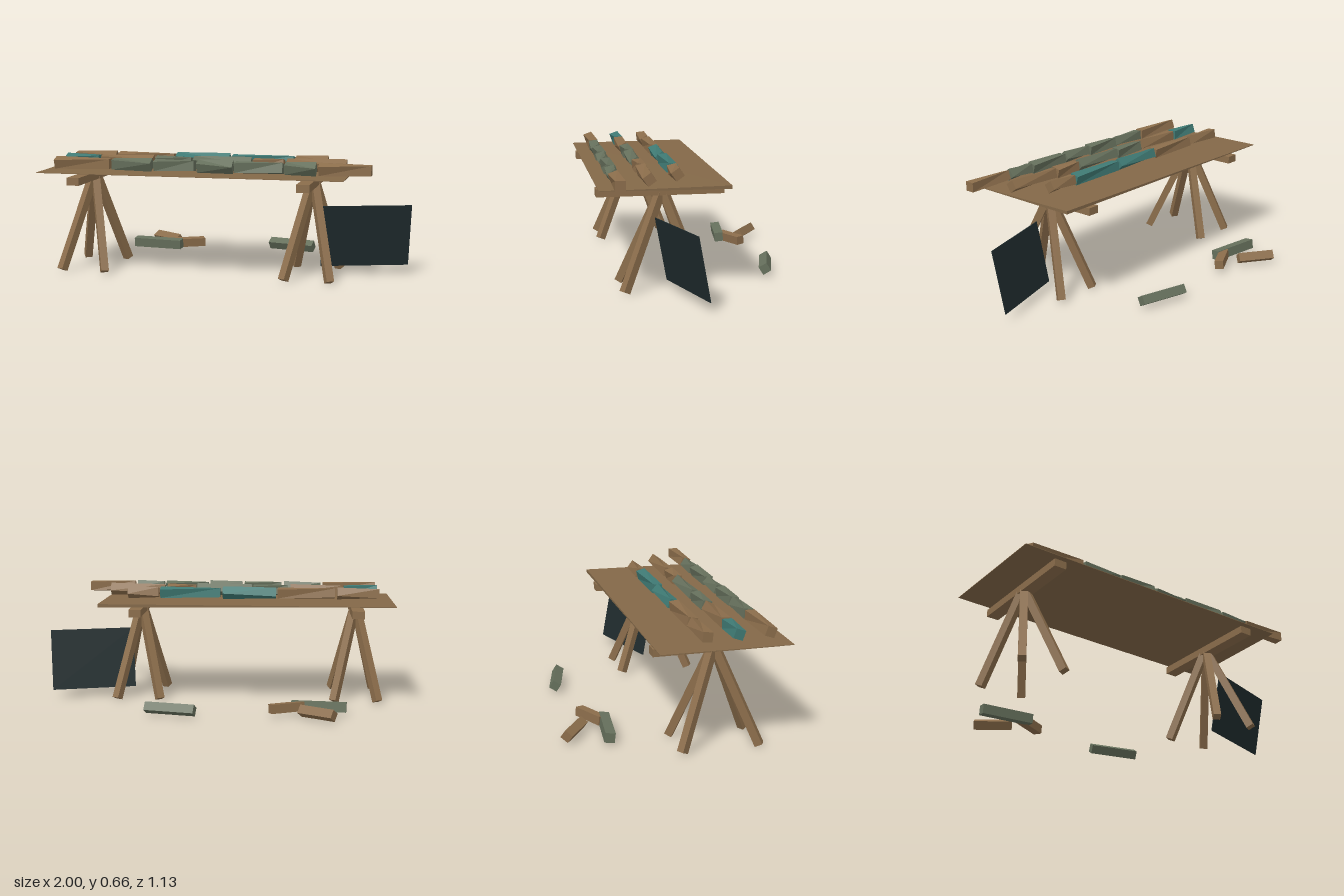
import * as THREE from 'three';

const material = (name, color) => {
  const m = new THREE.MeshStandardMaterial({ color, flatShading: true });
  m.name = name;
  return m;
};

export function createModel() {
  const model = new THREE.Group();
  model.name = 'marketTable';
  const wood = material('wood', 0x8b6d4b);
  const board = material('boardWood', 0x836848);
  const green = material('mossGreen', 0x66705c);
  const teal = material('teal', 0x3f7a74);
  const slate = material('darkSlate', 0x1f2b2d);

  // Square bar between two points, its ends rolled by separate angles
  function bar(name, mat, from, to, width, rollA = 0, rollB = rollA, parent = model) {
    const a = new THREE.Vector3(...from), b = new THREE.Vector3(...to);
    const geo = new THREE.BoxGeometry(width, width, a.distanceTo(b));
    const p = geo.attributes.position;
    for (let i = 0; i < p.count; i++) {
      const r = p.getZ(i) < 0 ? rollA : rollB;
      const x = p.getX(i), y = p.getY(i);
      p.setXY(i, x * Math.cos(r) - y * Math.sin(r), x * Math.sin(r) + y * Math.cos(r));
    }
    geo.computeVertexNormals();
    const mesh = new THREE.Mesh(geo, mat);
    mesh.name = name;
    mesh.position.copy(a).lerp(b, 0.5);
    mesh.lookAt(b);
    parent.add(mesh);
    return mesh;
  }

  // Thin tabletop, thickening only toward its back right corner
  const topGeo = new THREE.BoxGeometry(1.68, 1, 0.7);
  const tp = topGeo.attributes.position;
  for (let i = 0; i < tp.count; i++) {
    const u = tp.getX(i) / 1.68 + 0.5, v = 0.5 - tp.getZ(i) / 0.7;
    const thick = 0.003 + 0.015 * u * v;
    tp.setY(i, 0.576 + 0.004 * v * (1 - u) + tp.getY(i) * thick);
    tp.setZ(i, tp.getZ(i) + 0.008 * u * v);
  }
  topGeo.computeVertexNormals();
  const top = new THREE.Mesh(topGeo, board);
  top.name = 'tableTop';
  top.position.set(-0.16, 0, 0.21);
  model.add(top);

  // Trestles: a cross beam on four splayed legs
  for (const x of [-0.79, 0.47]) {
    const trestle = new THREE.Group();
    trestle.name = 'trestle';
    const beam = new THREE.Mesh(new THREE.BoxGeometry(0.07, 0.042, 0.685), wood);
    beam.name = 'trestleBeam';
    beam.position.set(x, 0.532, 0.215);
    trestle.add(beam);
    for (const sx of [-1, 1]) for (const sz of [-1, 1]) {
      bar('trestleLeg', wood, [x + sx * 0.125, 0.015, 0.215 + sz * 0.208],
        [x + sx * 0.008, 0.518, 0.205 + sz * 0.012], 0.042, 0, 0, trestle);
    }
    model.add(trestle);
  }

  // Rows of twisted billets: [colour, start, end] along x
  const rows = [
    [0.13, [[wood, -0.92, -0.68], [wood, -0.665, -0.335], [teal, -0.325, -0.015],
      [teal, 0, 0.35], [wood, 0.36, 0.54]]],
    [0.297, [[teal, -0.92, -0.725], [wood, -0.71, -0.41], [green, -0.395, -0.19],
      [green, -0.18, 0.145], [wood, 0.155, 0.325], [wood, 0.34, 0.665]]],
    [0.465, [[wood, -0.92, -0.605], [green, -0.59, -0.37], [green, -0.355, -0.13],
      [green, -0.115, 0.08], [green, 0.09, 0.35], [green, 0.36, 0.525], [wood, 0.54, 0.815]]],
  ];
  let n = 0;
  for (const [z, billets] of rows) {
    for (const [mat, x0, x1] of billets) {
      const roll = 0.1 + 0.12 * (n % 3);
      const twist = n % 2 ? -0.35 : 0.4;
      bar('billet', mat, [x0, 0.625, z], [x1, 0.625, z], 0.053, roll, roll + twist);
      n++;
    }
  }

  // Billets lying on the ground behind
  bar('fallenBillet', wood, [-0.645, 0.05, -0.54], [-0.47, 0.05, -0.42], 0.05, 0.6);
  bar('fallenBillet', green, [-0.72, 0.05, -0.325], [-0.42, 0.05, -0.29], 0.054, 0.12);
  bar('fallenBillet', wood, [-0.48, 0.052, -0.31], [-0.305, 0.052, -0.4], 0.05, 0.08);
  bar('fallenBillet', green, [0.105, 0.05, -0.455], [0.38, 0.05, -0.385], 0.05, 0.55);

  // Leaning dark panel, sheared along its own plane
  const panel = new THREE.Mesh(new THREE.BoxGeometry(1, 1, 1), slate);
  panel.name = 'leaningPanel';
  panel.geometry.applyMatrix4(new THREE.Matrix4().makeBasis(
    new THREE.Vector3(0.47, 0, -0.145),
    new THREE.Vector3(0.02, 0.345, 0.065),
    new THREE.Vector3(0.001, 0, 0.005),
  ));
  panel.geometry.computeVertexNormals();
  panel.position.set(0.755, 0.225, 0.145);
  model.add(panel);

  return model;
}
